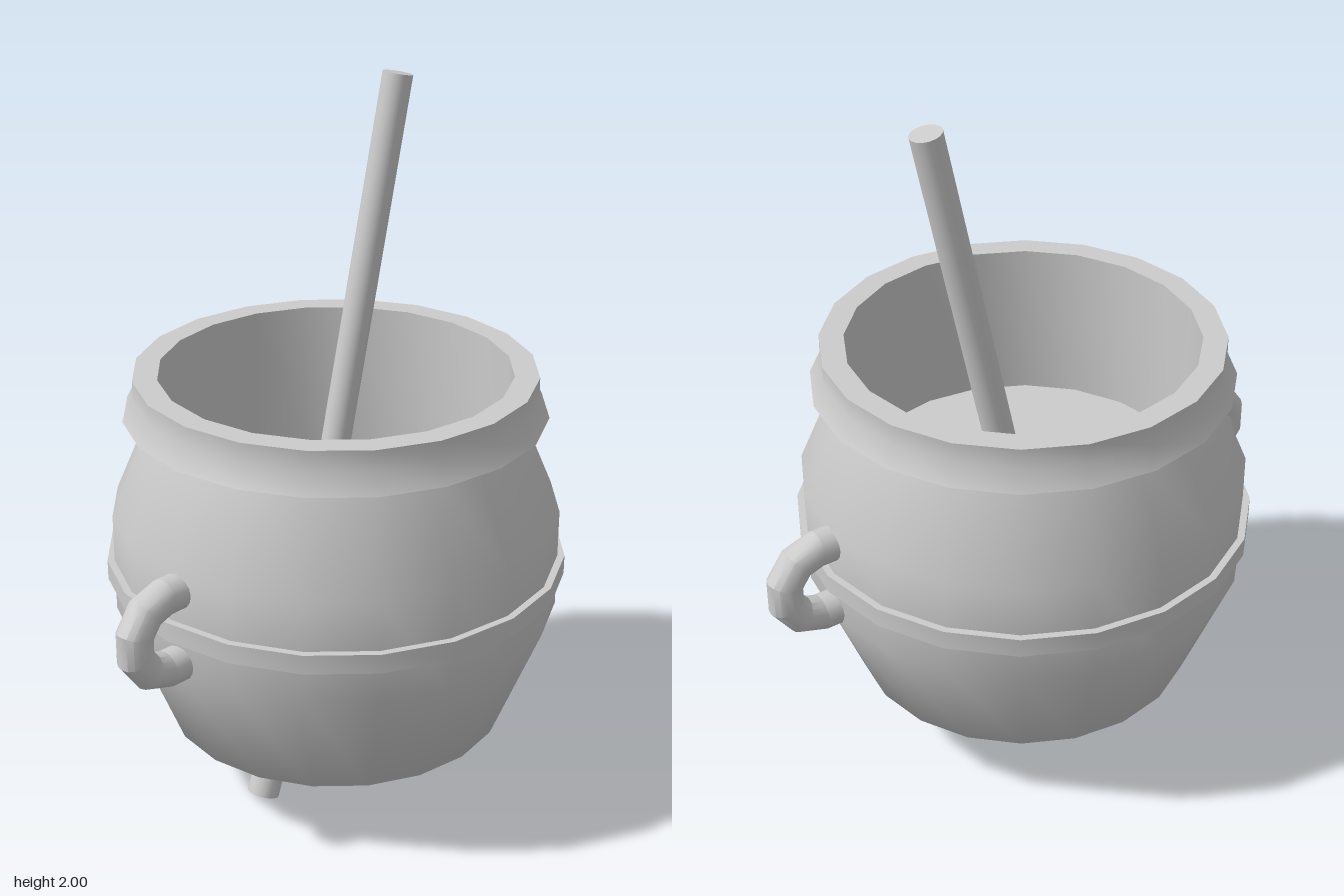
import * as THREE from 'three';
import { toCreasedNormals } from 'three/addons/utils/BufferGeometryUtils.js';

const SIDES = 20;

export function createModel() {
  const model = new THREE.Group();
  model.name = 'cauldron';
  const material = new THREE.MeshStandardMaterial({ color: 0xcccccc });

  const add = (name, geometry, parent = model) => {
    const mesh = new THREE.Mesh(geometry, material);
    mesh.name = name;
    parent.add(mesh);
    return mesh;
  };

  // Turned part from [radius, height] pairs, listed counter-clockwise
  const turned = (name, profile, crease = 0.75) => {
    const points = profile.map(([r, y]) => new THREE.Vector2(r, y));
    return add(name, toCreasedNormals(new THREE.LatheGeometry(points, SIDES), crease));
  };

  // Round rod between two points
  const rod = (name, from, to, radius, parent = model) => {
    const a = new THREE.Vector3(...from);
    const b = new THREE.Vector3(...to);
    const axis = b.clone().sub(a);
    const mesh = add(name, new THREE.CylinderGeometry(radius, radius, axis.length(), 16), parent);
    mesh.position.copy(a).add(b).multiplyScalar(0.5);
    mesh.quaternion.setFromUnitVectors(new THREE.Vector3(0, 1, 0), axis.normalize());
    return mesh;
  };

  // Pot: base, outer belly, and the shallow inside
  turned('base', [[0, 0.17], [0.375, 0.17]]);
  turned('belly', [[0.375, 0.17], [0.485, 0.23], [0.625, 0.58], [0.625, 0.865], [0.505, 1.147]]);
  turned('rim', [
    [0.487, 1.145], [0.585, 1.145], [0.555, 1.205], [0.555, 1.26], [0.487, 1.26], [0.487, 0.8],
  ]);
  turned('contents', [[0.487, 0.8], [0, 0.8]]);

  // Raised band around the widest part
  turned('band', [[0.615, 0.675], [0.645, 0.675], [0.645, 0.73], [0.615, 0.73]]);

  // Bent handles at the front and back
  for (const side of [1, -1]) {
    const handle = new THREE.Group();
    handle.name = side > 0 ? 'frontHandle' : 'backHandle';
    handle.position.set(0.017, 0.713, side * 0.665);
    const bend = add('handleBend',
      toCreasedNormals(new THREE.TorusGeometry(0.107, 0.05, 16, 5, Math.PI), 0.55), handle);
    bend.rotation.set(0, -side * Math.PI / 2, -side * Math.PI / 2);
    bend.rotation.set(0, -Math.PI / 2, 0);
    // Turn the half ring so that it bulges away from the pot
    bend.rotation.x = side * Math.PI / 2;
    bend.rotation.order = 'XYZ';
    for (const y of [0.107, -0.107]) {
      rod('handleStub', [0, y, -side * 0.09], [0, y, 0], 0.05, handle);
    }
    model.add(handle);
  }

  // Two splayed legs
  rod('frontLeg', [-0.018, 0.25, 0.2], [-0.018, 0.017, 0.285], 0.046);
  rod('backLeg', [-0.02, 0.25, -0.185], [-0.018, 0.014, -0.256], 0.046);

  // Stirring stick leaning to the back
  rod('stirringStick', [-0.147, 0.75, -0.108], [-0.11, 1.992, -0.362], 0.0425);

  return model;
}
